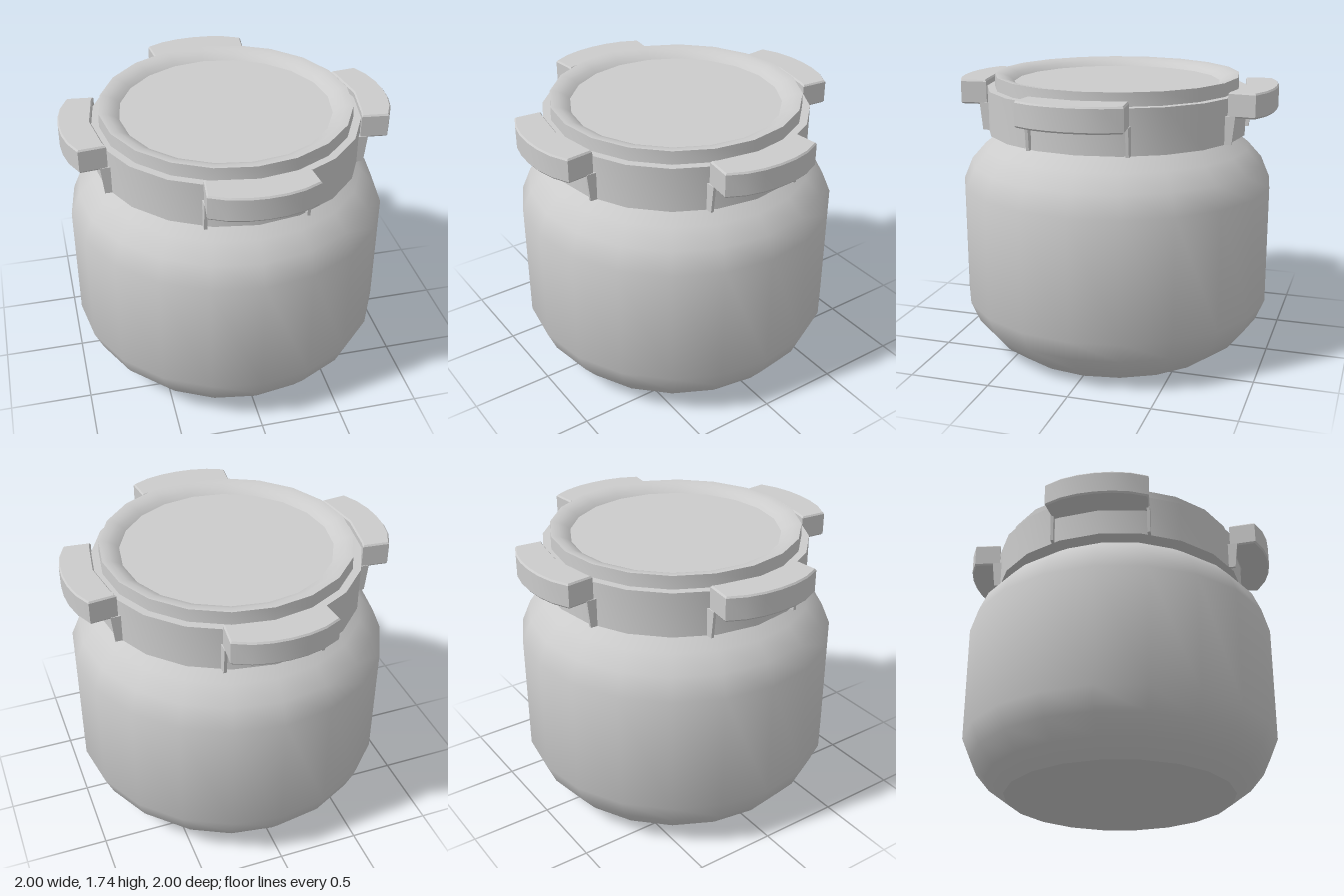
import * as THREE from 'three';
import { toCreasedNormals } from 'three/addons/utils/BufferGeometryUtils.js';

const SIDES = 20;
const material = new THREE.MeshStandardMaterial({ color: 0xcccccc });

const points = (list) => list.map(([x, y]) => new THREE.Vector2(x, y));

function part(name, geometry, crease = 0.55) {
  const mesh = new THREE.Mesh(toCreasedNormals(geometry, crease), material);
  mesh.name = name;
  return mesh;
}

const turned = (name, profile) => part(name, new THREE.LatheGeometry(points(profile), SIDES));

// Grip lug: a curved block that bulges out from the collar, on the +z side
function lugGeometry() {
  const half = [[0, 1], [0.105, 0.993], [0.21, 0.969], [0.315, 0.92], [0.297, 0.757], [0.25, 0.77]];
  const mirrored = half.slice(1).reverse().map(([x, z]) => [-x, z]);
  const outline = [...half, [0, 0.81], ...mirrored].map(([x, z]) => [x, -z]);
  const geometry = new THREE.ExtrudeGeometry(new THREE.Shape(points(outline)), {
    depth: 0.13, bevelThickness: 0.01, bevelSize: 0.008, bevelOffset: -0.008, bevelSegments: 1,
  });
  return geometry.rotateX(-Math.PI / 2).translate(0, 1.56, 0);
}

// Thin tapered rib that braces one end of a lug
function ribGeometry() {
  const outline = [[0.73, 1.39], [0.785, 1.39], [0.803, 1.56], [0.73, 1.56]];
  const geometry = new THREE.ExtrudeGeometry(new THREE.Shape(points(outline)), { depth: 0.018, bevelEnabled: false });
  return geometry.rotateY(-Math.PI / 2).translate(0.009, 0, 0);
}

export function createModel() {
  const model = new THREE.Group();
  model.name = 'jar';

  // Rounded body with a flat base
  model.add(turned('body', [
    [0, 0], [0.71, 0], [0.83, 0.09], [0.92, 0.2], [0.975, 0.33],
    [0.975, 1.07], [0.92, 1.2], [0.83, 1.3], [0.71, 1.39], [0, 1.39],
  ]));

  // Lid: collar, raised lip and shallow dished top
  model.add(turned('lid', [
    [0, 1.39], [0.81, 1.39], [0.81, 1.66], [0.763, 1.66], [0.76, 1.74],
    [0.75, 1.74], [0.71, 1.733], [0.67, 1.716], [0.64, 1.69], [0, 1.69],
  ]));

  // Four lugs around the lid, each with two ribs
  for (let i = 0; i < 4; i++) {
    const grip = new THREE.Group();
    grip.name = 'gripLug';
    grip.add(part('lug', lugGeometry(), 0.4));
    for (const side of [-1, 1]) {
      const rib = part('lugRib', ribGeometry());
      rib.position.x = side * 0.295;
      grip.add(rib);
    }
    grip.rotation.y = i * Math.PI / 2;
    model.add(grip);
  }
  return model;
}
